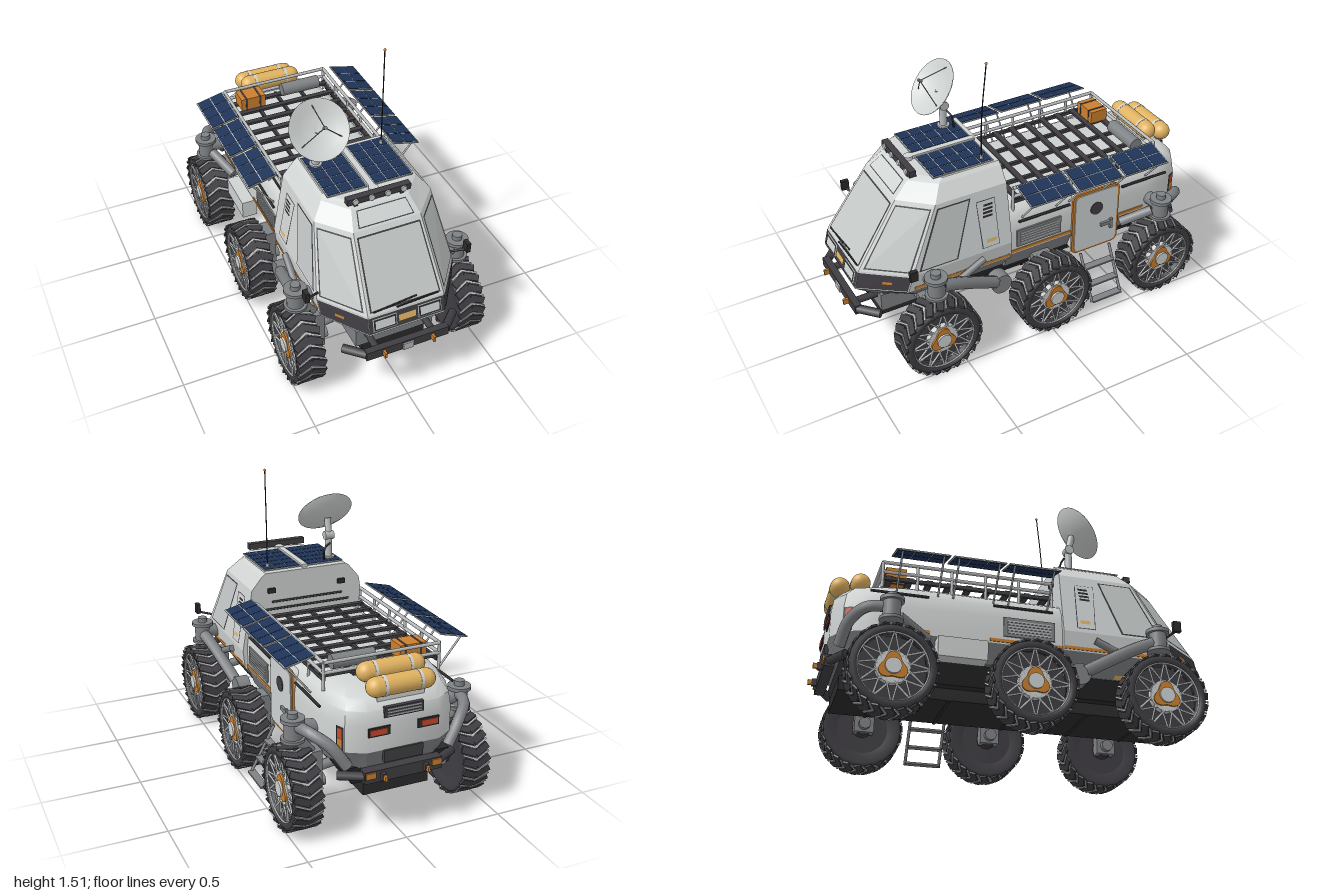
import * as THREE from 'three';
import { mergeGeometries, toCreasedNormals } from 'three/addons/utils/BufferGeometryUtils.js';

const V = (x, y, z) => new THREE.Vector3(x, y, z);
const mat = (name, color) => Object.assign(new THREE.MeshStandardMaterial({ color }), { name });

// ---- geometry helpers (all transforms are baked into the vertices) ----
const plain = g => { const n = g.index ? g.toNonIndexed() : g; n.deleteAttribute('uv'); return n; };
const merge = list => mergeGeometries(list.map(plain));
const box = (w, h, d, x, y, z) => new THREE.BoxGeometry(w, h, d).translate(x, y, z);
const cylX = (r, l, x, y, z, n = 20) => new THREE.CylinderGeometry(r, r, l, n).rotateZ(-Math.PI / 2).translate(x, y, z);
const cylY = (r, h, x, y, z, n = 20) => new THREE.CylinderGeometry(r, r, h, n).translate(x, y, z);
const tube = (pts, r, n = 16) => new THREE.TubeGeometry(new THREE.CatmullRomCurve3(pts), n, r, 8);
function rod(a, b, r, n = 8) {
  const d = b.clone().sub(a), q = new THREE.Quaternion().setFromUnitVectors(V(0, 1, 0), d.clone().normalize());
  const c = a.clone().add(b).multiplyScalar(0.5);
  return new THREE.CylinderGeometry(r, r, d.length(), n).applyQuaternion(q).translate(c.x, c.y, c.z);
}
function flipX(geo) {
  const g = plain(geo.clone()).scale(-1, 1, 1);
  for (const a of Object.values(g.attributes)) for (let t = 0; t < a.count; t += 3) {
    const p = [a.getX(t + 1), a.getY(t + 1), a.getZ(t + 1)];
    a.setXYZ(t + 1, a.getX(t + 2), a.getY(t + 2), a.getZ(t + 2));
    a.setXYZ(t + 2, ...p);
  }
  return g;
}
function fromTriangles(tris) {
  const g = new THREE.BufferGeometry().setFromPoints(tris);
  g.computeVertexNormals();
  return g;
}
const ring = (y, half) => [...half, ...half.map(([x, z]) => [-x, z]).reverse()].map(([x, z]) => V(x, y, z));
function loft(rings) {
  const t = [], n = rings[0].length, top = rings[rings.length - 1], low = rings[0];
  for (let r = 0; r < rings.length - 1; r++) for (let i = 0; i < n; i++) {
    const j = (i + 1) % n, a = rings[r], b = rings[r + 1];
    t.push(a[j], a[i], b[i], a[j], b[i], b[j]);
  }
  for (let k = 1; k < n - 1; k++) t.push(top[0], top[k + 1], top[k], low[0], low[k], low[k + 1]);
  return fromTriangles(t);
}
// thin plate on a facet between two rings; u runs left to right, v upwards
function plate(a, b, i, [u0, u1, v0, v1, t0 = u0, t1 = u1], off) {
  const at = (u, v) => a[i + 1].clone().lerp(a[i], u).lerp(b[i + 1].clone().lerp(b[i], u), v);
  const q = [at(u0, v0), at(u1, v0), at(t1, v1), at(t0, v1)];
  const n = q[1].clone().sub(q[0]).cross(q[3].clone().sub(q[0])).normalize().multiplyScalar(off);
  q.forEach(p => p.add(n));
  return fromTriangles([q[0], q[1], q[2], q[0], q[2], q[3]]);
}
function onSide(w, h, r, depth, px, py, pz) {
  const s = new THREE.Shape(), x = w / 2, y = h / 2;
  s.moveTo(-x + r, -y).lineTo(x - r, -y).quadraticCurveTo(x, -y, x, -y + r).lineTo(x, y - r).quadraticCurveTo(x, y, x - r, y)
    .lineTo(-x + r, y).quadraticCurveTo(-x, y, -x, y - r).lineTo(-x, -y + r).quadraticCurveTo(-x, -y, -x + r, -y);
  return new THREE.ExtrudeGeometry(s, { depth, bevelEnabled: false }).rotateY(Math.PI / 2).translate(px, py, pz);
}

export function createModel() {
  const root = new THREE.Group();
  root.name = 'sixWheelRover';
  const M = {
    body: mat('body light grey', 0xcfd3d2), glass: mat('glass grey', 0xc3c8c7), metal: mat('pale metal', 0xb8bbbc),
    grey: mat('machinery grey', 0x7f8285), dark: mat('trim dark', 0x3f3d42), black: mat('underside black', 0x2b2b2d),
    orange: mat('orange', 0xcc7f2e), gold: mat('gold', 0xe0b260), blue: mat('solar blue', 0x1e3357), red: mat('lamp red', 0xc8492e),
  };
  const add = (name, m, ...geos) => {
    const mesh = new THREE.Mesh(merge(geos), M[m]);
    mesh.name = name;
    root.add(mesh);
  };
  const pair = (name, m, ...geos) => { const g = merge(geos); add(name + 'Left', m, g); add(name + 'Right', m, flipX(g)); };

  // ---- cab: stacked six-sided rings ----
  const cr = (y, xf, zf, xs, zc) => ring(y, [[xs, 0.17], [xs, zc], [xf, zf]]);
  const c = [cr(0.35, 0.17, 0.84, 0.28, 0.66), cr(0.45, 0.2, 0.955, 0.355, 0.74), cr(0.55, 0.2, 0.93, 0.366, 0.715),
    cr(0.88, 0.175, 0.705, 0.308, 0.555), cr(0.95, 0.15, 0.625, 0.25, 0.505), cr(0.965, 0.13, 0.59, 0.23, 0.48)];
  add('cabLower', 'grey', loft(c.slice(0, 2)));
  add('cabShell', 'body', loft(c.slice(1)));
  add('windshieldFrame', 'dark', plate(c[2], c[3], 2, [0.035, 0.965, 0.035, 0.935], 0.002));
  add('windshield', 'glass', plate(c[2], c[3], 2, [0.055, 0.945, 0.055, 0.915], 0.004));
  pair('cornerWindowFrame', 'dark', plate(c[2], c[3], 1, [0.07, 0.94, 0.035, 0.935], 0.002), plate(c[2], c[3], 0, [0.05, 0.44, 0.035, 0.935, 0.04, 0.49], 0.002));
  pair('cornerWindow', 'glass', plate(c[2], c[3], 1, [0.1, 0.91, 0.055, 0.915], 0.004), plate(c[2], c[3], 0, [0.067, 0.423, 0.055, 0.915, 0.062, 0.468], 0.004));
  add('browOutline', 'dark', plate(c[3], c[4], 2, [0.08, 0.92, 0.1, 0.9], 0.002));
  add('browPanel', 'body', plate(c[3], c[4], 2, [0.095, 0.905, 0.15, 0.85], 0.004));
  // nose band, headlights, intake and wipers
  add('noseBand', 'dark', plate(c[1], c[2], 2, [0, 1, 0.08, 0.92], 0.003));
  pair('noseBandCorner', 'dark', plate(c[1], c[2], 1, [0, 0.98, 0.08, 0.92], 0.003));
  pair('noseMarker', 'orange', plate(c[1], c[2], 1, [0.48, 0.66, 0.42, 0.56], 0.006));
  pair('headlightRim', 'metal', plate(c[1], c[2], 2, [0.64, 0.95, 0.17, 0.83], 0.005));
  pair('headlightRecess', 'black', plate(c[1], c[2], 2, [0.65, 0.94, 0.21, 0.79], 0.007));
  pair('headlight', 'body', plate(c[1], c[2], 2, [0.67, 0.92, 0.29, 0.71], 0.009));
  add('nosePlate', 'gold', plate(c[1], c[2], 2, [0.385, 0.615, 0.33, 0.68], 0.008));
  add('intakeSlots', 'metal', ...[0, 1, 2, 3, 4, 5, 6].map(k => plate(c[0], c[1], 2, [0.15 + k * 0.1, 0.21 + k * 0.1, 0.2, 0.3], 0.004)));
  add('wipers', 'black', rod(V(-0.17, 0.565, 0.925), V(0.06, 0.58, 0.915), 0.004), rod(V(-0.05, 0.56, 0.93), V(0.17, 0.567, 0.925), 0.004));
  pair('mirror', 'black', box(0.022, 0.055, 0.04, 0.43, 0.61, 0.74), rod(V(0.34, 0.57, 0.7), V(0.43, 0.59, 0.74), 0.006));
  // cab side service panel
  pair('servicePanelEdge', 'dark', plate(c[2], c[3], 0, [0.69, 0.87, 0.06, 0.84, 0.57, 0.82], 0.002));
  pair('servicePanel', 'body', plate(c[2], c[3], 0, [0.698, 0.862, 0.07, 0.83, 0.578, 0.812], 0.004));
  pair('serviceVent', 'black', ...[0, 1, 2, 3].map(k => plate(c[2], c[3], 0, [0.67, 0.79, 0.56 + k * 0.06, 0.595 + k * 0.06], 0.006)));
  pair('serviceLabel', 'gold', plate(c[2], c[3], 0, [0.73, 0.83, 0.14, 0.2], 0.006));
  pair('sillLabel', 'gold', plate(c[0], c[1], 0, [0.36, 0.44, 0.05, 0.22], 0.006));
  // cab rear wall fittings
  pair('rearWallLamp', 'black', box(0.04, 0.025, 0.02, 0.2, 0.87, 0.165));
  add('rearWallRails', 'dark', rod(V(-0.2, 0.81, 0.155), V(0.2, 0.81, 0.155), 0.006), rod(V(-0.24, 0.77, 0.155), V(0.24, 0.77, 0.155), 0.006));

  // ---- rear body with rounded tail, narrow keel below ----
  const rr = (y, xs, zb) => ring(y, [[xs * 0.55, zb], [xs * 0.8, zb + 0.05], [xs * 0.94, zb + 0.16], [xs, zb + 0.28], [xs, 0.18]]);
  const b = [rr(0.35, 0.3, -0.9), rr(0.45, 0.34, -0.94), rr(0.58, 0.34, -0.94), rr(0.65, 0.33, -0.93), rr(0.695, 0.305, -0.89), rr(0.72, 0.265, -0.82)];
  add('hullLower', 'grey', toCreasedNormals(loft(b.slice(0, 2)), 0.5));
  add('hullUpper', 'body', toCreasedNormals(loft(b.slice(1)), 0.6));
  add('chassis', 'black', loft([ring(0.26, [[0.22, -0.86], [0.22, 0.62]]), ring(0.355, [[0.28, -0.88], [0.28, 0.64]])]));
  add('keel', 'black', box(0.34, 0.07, 1.7, 0, 0.235, -0.03), ...[-0.7, -0.35, 0, 0.35, 0.65].map(z => box(0.346, 0.01, 0.015, 0, 0.201, z)));
  add('frontBelly', 'grey', box(0.42, 0.1, 0.2, 0, 0.31, 0.73));
  // stripes, grilles and long grab rails
  pair('stripe', 'orange', box(0.006, 0.016, 0.53, 0.356, 0.466, 0.44), box(0.006, 0.016, 0.37, 0.341, 0.466, -0.01), box(0.006, 0.016, 0.16, 0.341, 0.466, -0.57));
  pair('grilleFrame', 'grey', box(0.012, 0.1, 0.26, 0.341, 0.54, 0));
  pair('grilleSlats', 'metal', ...[0, 1, 2, 3, 4].map(k => box(0.01, 0.008, 0.22, 0.345, 0.51 + k * 0.015, 0)));
  pair('grabRail', 'black', rod(V(0.345, 0.645, 0.12), V(0.345, 0.645, -0.18), 0.007), rod(V(0.345, 0.645, -0.5), V(0.345, 0.645, -0.78), 0.007));

  // ---- door and ladder on one side, locker on the other ----
  add('doorCasing', 'body', onSide(0.275, 0.365, 0.04, 0.04, 0.302, 0.505, -0.338));
  add('doorFrame', 'orange', onSide(0.285, 0.375, 0.04, 0.012, 0.342, 0.505, -0.338));
  add('door', 'body', onSide(0.258, 0.348, 0.032, 0.017, 0.342, 0.505, -0.338));
  add('doorPorthole', 'dark', cylX(0.038, 0.01, 0.358, 0.575, -0.338, 24));
  add('doorHandle', 'grey', box(0.015, 0.02, 0.07, 0.364, 0.46, -0.4), box(0.015, 0.06, 0.015, 0.364, 0.45, -0.43));
  const step = t => [0.36 + 0.13 * t, 0.31 - 0.24 * t];
  add('ladder', 'grey', ...[-0.25, -0.43].map(z => rod(V(0.36, 0.31, z), V(0.49, 0.07, z), 0.008)),
    ...[0.3, 0.65, 0.97].map(t => box(0.04, 0.01, 0.18, ...step(t), -0.34)));
  add('locker', 'body', box(0.08, 0.1, 0.24, -0.36, 0.38, -0.34));

  // ---- wheels ----
  const prof = [[0.13, -0.06], [0.185, -0.072], [0.2, -0.062], [0.205, 0], [0.2, 0.062], [0.185, 0.072], [0.165, 0.068], [0.158, 0.035]].map(p => new THREE.Vector2(...p));
  const polar = (r, a, x) => V(x, r * Math.cos(a), r * Math.sin(a));
  const cleats = (w, h, r, turn) => Array.from({ length: 44 }, (_, k) => {
    const s = k % 2 ? 1 : -1;
    return box(0.08, h, w, 0, 0, 0).rotateY(-s * 0.45).translate(s * 0.035, r, 0).rotateX(((k >> 1) + turn) * Math.PI / 11);
  });
  const lobes = Array.from({ length: 36 }, (_, k) => {
    const a = k * Math.PI / 18, r = 0.06 + 0.012 * Math.cos(3 * a + Math.PI / 2);
    return new THREE.Vector2(r * Math.cos(a), r * Math.sin(a));
  });
  const spokes = [];
  for (let k = 0; k < 12; k++) for (const s of [-1, 1]) {
    const a = k * Math.PI / 6;
    spokes.push(rod(polar(0.06, a, 0.05), polar(0.162, a + s * 0.5, 0.058), 0.0055, 5));
  }
  const wheel = {
    tyre: ['dark', merge([new THREE.LatheGeometry(prof, 40).rotateZ(-Math.PI / 2), ...cleats(0.034, 0.01, 0.203, 0), cylX(0.15, 0.03, -0.045, 0, 0, 32)])],
    treadBars: ['metal', merge(cleats(0.009, 0.006, 0.2055, 0.5))],
    rimBack: ['dark', merge([cylX(0.159, 0.05, 0, 0, 0, 32), cylX(0.05, 0.06, -0.08, 0, 0)])],
    spokes: ['metal', merge([...spokes, new THREE.TorusGeometry(0.163, 0.005, 6, 40).rotateY(Math.PI / 2).translate(0.063, 0, 0)])],
    hub: ['body', merge([cylX(0.08, 0.03, 0.04, 0, 0, 24), cylX(0.038, 0.02, 0.064, 0, 0)])],
    hubLobes: ['orange', new THREE.ExtrudeGeometry(new THREE.Shape(lobes), { depth: 0.011, bevelEnabled: false }).rotateY(Math.PI / 2).translate(0.053, 0, 0)],
  };
  [['front', 0.63], ['middle', -0.02], ['rear', -0.68]].forEach(([n, z]) => {
    for (const [part, [m, g]] of Object.entries(wheel)) pair(`${n}Wheel_${part}_`, m, g.clone().translate(0.44, 0.21, z));
    pair(n + 'Axle', 'grey', cylX(0.03, 0.13, 0.345, 0.21, z), box(0.055, 0.22, 0.1, 0.335, 0.28, z), rod(V(0.33, 0.28, z), V(0.2, 0.3, z), 0.025));
  });

  // ---- suspension pods and swing arms ----
  for (const [n, z] of [['front', 0.63], ['rear', -0.69]])
    pair(n + 'SuspensionPod', 'grey', cylY(0.043, 0.1, 0.44, 0.505, z), cylY(0.058, 0.018, 0.44, 0.56, z), cylY(0.058, 0.015, 0.44, 0.46, z),
      rod(V(0.44, 0.52, z), V(0.3, 0.5, z), 0.035, 14), rod(V(0.42, 0.46, z), V(0.345, 0.36, z), 0.03, 12), cylY(0.025, 0.03, 0.44, 0.58, z));
  pair('frontSwingArm', 'grey', tube([V(0.44, 0.5, 0.6), V(0.42, 0.46, 0.5), V(0.375, 0.34, 0.27)], 0.032), cylX(0.055, 0.07, 0.355, 0.32, 0.24),
    rod(V(0.38, 0.44, 0.48), V(0.37, 0.51, 0.33), 0.018, 12));
  pair('rearSwingArm', 'grey', tube([V(0.43, 0.53, -0.7), V(0.4, 0.53, -0.8), V(0.33, 0.48, -0.87), V(0.26, 0.38, -0.9)], 0.028),
    rod(V(0.42, 0.49, -0.65), V(0.35, 0.42, -0.5), 0.026, 12));

  // ---- bumpers, tow hooks and tail ----
  add('frontBumper', 'dark', box(0.44, 0.05, 0.035, 0, 0.33, 0.955));
  pair('bumperWing', 'dark', rod(V(0.21, 0.33, 0.955), V(0.3, 0.33, 0.87), 0.022), rod(V(0.15, 0.33, 0.95), V(0.15, 0.33, 0.8), 0.018));
  add('winchPlate', 'metal', box(0.055, 0.04, 0.008, 0, 0.325, 0.976));
  pair('towHook', 'orange', box(0.012, 0.03, 0.03, 0.13, 0.33, 0.985), box(0.012, 0.025, 0.025, 0.11, 0.33, -0.985), box(0.05, 0.03, 0.01, 0.17, 0.34, -0.958));
  pair('rearHookMount', 'dark', box(0.02, 0.035, 0.03, 0.11, 0.33, -0.963));
  add('rearBumper', 'dark', box(0.4, 0.06, 0.05, 0, 0.33, -0.93), box(0.2, 0.06, 0.02, 0, 0.42, -0.94), box(0.2, 0.05, 0.02, 0, 0.635, -0.932));
  pair('rearBumperWing', 'dark', rod(V(0.19, 0.33, -0.93), V(0.3, 0.33, -0.87), 0.022));
  add('rearVentSlats', 'metal', ...[0, 1, 2].map(k => box(0.17, 0.006, 0.006, 0, 0.62 + k * 0.015, -0.942)));
  pair('tailLampHousing', 'black', box(0.11, 0.045, 0.012, 0.125, 0.55, -0.94));
  pair('tailLamp', 'red', box(0.085, 0.028, 0.012, 0.13, 0.55, -0.944));
  pair('cornerLampHousing', 'black', plate(b[1], b[2], 1, [0.6, 0.98, 0.02, 0.95], 0.004));
  pair('cornerLampRed', 'red', plate(b[1], b[2], 1, [0.68, 0.9, 0.5, 0.88], 0.007));
  pair('cornerLampOrange', 'orange', plate(b[1], b[2], 1, [0.68, 0.9, 0.12, 0.48], 0.007));

  // ---- roof rack ----
  const railZ = [0.13, -0.04, -0.21, -0.38, -0.55, -0.72];
  add('rackRails', 'metal', ...[0.775, 0.825].flatMap(y => [-0.3, 0.3].map(x => rod(V(x, y, 0.13), V(x, y, -0.72), 0.009))
    .concat([rod(V(-0.3, y, -0.72), V(0.3, y, -0.72), 0.009)])), ...railZ.flatMap(z => [-0.3, 0.3].map(x => rod(V(x, 0.69, z), V(x, 0.825, z), 0.008))));
  add('rackSlats', 'dark', ...Array.from({ length: 9 }, (_, k) => box(0.6, 0.014, 0.03, 0, 0.75, 0.1 - k * 0.098)),
    ...[-0.295, -0.14, 0, 0.14, 0.295].map(x => box(0.016, 0.018, 0.84, x, 0.742, -0.295)));
  add('cargoBox', 'orange', box(0.14, 0.07, 0.1, -0.175, 0.795, -0.645));
  add('cargoStraps', 'dark', ...[-0.215, -0.135].map(x => box(0.01, 0.074, 0.104, x, 0.795, -0.645)));
  add('cargoTube', 'grey', cylX(0.036, 0.22, 0.125, 0.795, -0.655));
  // gas bottles
  [[0.785, -0.8], [0.75, -0.9]].forEach(([y, z], k) => {
    add('gasBottle' + k, 'gold', new THREE.CapsuleGeometry(0.048, 0.25, 6, 20).rotateZ(Math.PI / 2).translate(0, y, z));
    add('bottleStraps' + k, 'body', ...[-0.09, 0.09].map(x => cylX(0.0495, 0.014, x, y, z)), box(0.24, 0.06, 0.03, 0, y - 0.06, z + 0.01));
  });

  // ---- solar panels ----
  function solar(w, l, nx, nz) {
    const cells = [], cw = w / nx, cl = l / nz;
    for (let i = 0; i < nx; i++) for (let j = 0; j < nz; j++)
      cells.push(box(cw - 0.005, 0.01, cl - 0.005, (i + 0.5) * cw - w / 2, 0, (j + 0.5) * cl - l / 2));
    return [box(w + 0.006, 0.006, l + 0.006, 0, 0, 0), merge(cells)];
  }
  [-0.005, -0.28, -0.555].forEach((z, k) => {
    const [f, s] = solar(0.15, 0.255, 2, 3).map(g => g.rotateZ(-0.24).translate(0.4, 0.832, z));
    pair(`wingPanelFrame${k}_`, 'metal', f);
    pair(`wingPanelCells${k}_`, 'blue', s);
    pair(`wingPanelStrut${k}_`, 'metal', ...[-0.1, 0.1].map(d => rod(V(0.46, 0.815, z + d), V(0.335, 0.66, z + d), 0.005)));
  });
  const [rf, rs] = solar(0.2, 0.32, 3, 5).map(g => g.translate(0.122, 0.972, 0.36));
  pair('roofPanelFrame', 'metal', rf);
  pair('roofPanelCells', 'blue', rs);
  add('roofSpine', 'body', box(0.03, 0.02, 0.36, 0, 0.972, 0.37), cylY(0.024, 0.024, 0, 0.972, 0.55));

  // ---- roof light bar, dish and whip antenna ----
  add('lightBar', 'dark', box(0.33, 0.032, 0.035, 0, 0.985, 0.6), box(0.02, 0.04, 0.03, -0.12, 0.955, 0.6), box(0.02, 0.04, 0.03, 0.12, 0.955, 0.6));
  add('lightBarLamps', 'body', ...[-0.125, -0.042, 0.042, 0.125].map(x => new THREE.CylinderGeometry(0.015, 0.015, 0.01, 16).rotateX(Math.PI / 2).translate(x, 0.985, 0.62)));
  const dishAt = g => g.rotateX(0.89).translate(-0.177, 1.193, 0.294);
  const bowl = [[0, -0.006], [0.05, -0.001], [0.1, 0.012], [0.151, 0.036], [0.15, 0.041], [0.1, 0.018], [0.05, 0.005], [0, 0]].map(p => new THREE.Vector2(...p));
  add('dish', 'body', dishAt(new THREE.LatheGeometry(bowl, 40)));
  add('dishFeed', 'grey', ...[0.5, 2.6, 4.7].map(a => dishAt(rod(V(0.12 * Math.cos(a), 0.025, 0.12 * Math.sin(a)), V(0, 0.12, 0), 0.0025, 6))), dishAt(cylY(0.008, 0.022, 0, 0.12, 0, 12)));
  add('dishMast', 'metal', cylY(0.019, 0.14, -0.175, 1.03, 0.27), cylY(0.032, 0.02, -0.175, 0.975, 0.27), rod(V(-0.177, 1.19, 0.29), V(-0.175, 1.09, 0.268), 0.018, 12), cylX(0.024, 0.05, -0.175, 1.1, 0.27));
  add('dishCable', 'black', tube([V(-0.175, 1.06, 0.25), V(-0.14, 1.04, 0.24), V(-0.13, 0.96, 0.23)], 0.005));
  add('antenna', 'black', tube([V(0.19, 0.95, 0.245), V(0.193, 1.2, 0.242), V(0.205, 1.5, 0.22)], 0.003));
  add('antennaBase', 'metal', cylY(0.009, 0.05, 0.19, 0.97, 0.245, 10));
  add('antennaTip', 'orange', new THREE.SphereGeometry(0.007, 10, 8).translate(0.205, 1.5, 0.22));
  return root;
}
